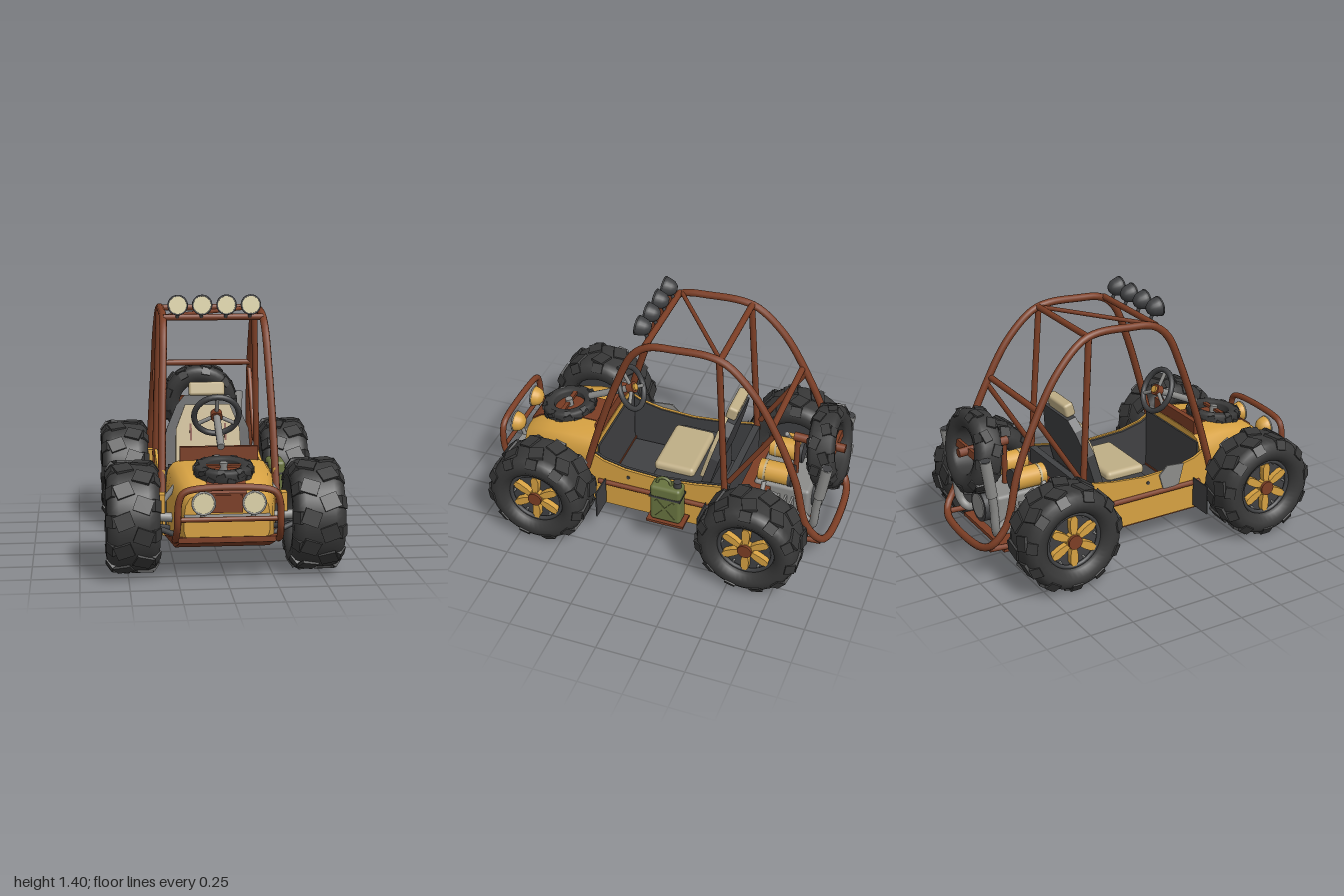
import * as THREE from 'three';
import { toCreasedNormals } from 'three/addons/utils/BufferGeometryUtils.js';
import { RoundedBoxGeometry } from 'three/addons/geometries/RoundedBoxGeometry.js';

const material = (name, color) => Object.assign(new THREE.MeshStandardMaterial({ color }), { name });
const gold = material('gold paint', 0xd6a142);
const brown = material('rust brown', 0x7c3e25);
const rubber = material('rubber', 0x383838);
const dark = material('dark trim', 0x404143);
const cream = material('seat fabric', 0xbfae86);
const lens = material('lamp lens', 0xdfd5ab);
const steel = material('steel', 0x8c8c8a);
const green = material('olive green', 0x68733f);
rubber.side = dark.side = THREE.DoubleSide;

const V = (p) => new THREE.Vector3(...p);
const flipX = ([x, y, z]) => [-x, y, z];

export function createModel() {
  const model = new THREE.Group();
  model.name = 'buggy';

  function add(name, geo, mat, pos = [0, 0, 0], rot = [0, 0, 0], parent = model) {
    const m = new THREE.Mesh(geo, mat);
    m.name = name;
    m.position.set(...pos);
    m.rotation.set(...rot);
    parent.add(m);
    return m;
  }
  function group(name, pos = [0, 0, 0], rot = [0, 0, 0], parent = model) {
    const g = new THREE.Group();
    g.name = name;
    g.position.set(...pos);
    g.rotation.set(...rot);
    parent.add(g);
    return g;
  }
  const box = (name, size, mat, pos, rot, parent) => add(name, new THREE.BoxGeometry(...size), mat, pos, rot, parent);
  const cyl = (name, r, h, mat, pos, rot, parent) => add(name, new THREE.CylinderGeometry(r, r, h, 20), mat, pos, rot, parent);
  const tube = (name, pts, r, mat) => add(name, new THREE.TubeGeometry(
    new THREE.CatmullRomCurve3(pts.map(V), false, 'centripetal'), pts.length * 6, r, 10), mat);
  function bar(name, a, b, r, mat, parent) {
    const d = V(b).sub(V(a));
    const m = add(name, new THREE.CylinderGeometry(r, r, d.length(), 10), mat, V(a).add(V(b)).multiplyScalar(0.5).toArray(), [0, 0, 0], parent);
    m.quaternion.setFromUnitVectors(new THREE.Vector3(0, 1, 0), d.normalize());
  }
  const pair = (fn) => [1, -1].forEach(fn);
  const extrude = (pts, depth) => new THREE.ExtrudeGeometry(
    new THREE.Shape(pts.map(([x, y]) => new THREE.Vector2(x, y))), { depth, bevelEnabled: false });

  // Skin over rings of right-half points, mirrored in x; stations run towards +z
  function loft(stations) {
    const rings = stations.map(({ z, half }) => [...half, ...half.slice().reverse().map(([x, y]) => [-x, y])].map(([x, y]) => [x, y, z]));
    const n = rings[0].length, index = [], last = (rings.length - 1) * n;
    for (let i = 0; i < rings.length - 1; i++) for (let j = 0; j < n; j++) {
      const a = i * n + j, b = i * n + (j + 1) % n;
      index.push(a, b, a + n, b, b + n, a + n);
    }
    for (let j = 1; j < n - 1; j++) index.push(0, j + 1, j, last, last + j, last + j + 1);
    const g = new THREE.BufferGeometry();
    g.setAttribute('position', new THREE.Float32BufferAttribute(rings.flat(2), 3));
    g.setIndex(index);
    return toCreasedNormals(g, 0.7);
  }

  // Tyre around the local y axis with broad, low tread blocks
  function tyre(parent, R, hw, ri, lugs) {
    const half = [[ri, 0.62], [ri + 0.03 * R, 0.82], [ri + (R - ri) * 0.35, 1], [ri + (R - ri) * 0.66, 0.98], [R * 0.94, 0.83], [R * 0.99, 0.55]];
    const pts = [...half.map(([r, k]) => [r, -k]), ...half.slice().reverse(), [ri, -0.62]];
    add('tyre', new THREE.LatheGeometry(pts.map(([r, k]) => new THREE.Vector2(r, k * hw)), 40), rubber, [0, 0, 0], [0, 0, 0], parent);
    const block = new THREE.BoxGeometry(R * 0.07, hw * 0.66, R * 0.28);
    const shoulder = new THREE.BoxGeometry(R * 0.2, hw * 0.2, R * 0.22);
    for (let i = 0; i < lugs; i++) pair((s) => {
      const spoke = group('tread', [0, 0, 0], [0, ((i + (s > 0 ? 0.5 : 0)) / lugs) * Math.PI * 2, 0], parent);
      add('tread block', block, rubber, [R * 0.985, s * hw * 0.36, 0], [s * 0.35, 0, 0], spoke);
      add('shoulder lug', shoulder, rubber, [R * 0.9, s * hw * 0.83, 0], [0, 0, -s * 0.6], spoke);
    });
  }

  // Four wheels with six tapered spokes
  const spokeGeo = extrude([[0.03, -0.013], [0.08, -0.022], [0.125, -0.022], [0.145, -0.012], [0.145, 0.012], [0.125, 0.022], [0.08, 0.022], [0.03, 0.013]], 0.035);
  pair((s) => [0.635, -0.6].forEach((z) => {
    const w = group('wheel', [s * 0.475, 0.3, z], [0, 0, -s * Math.PI / 2]);
    tyre(w, 0.286, 0.137, 0.16, 11);
    cyl('rim well', 0.162, 0.15, dark, [0, -0.01, 0], [0, 0, 0], w);
    add('rim ring', new THREE.TorusGeometry(0.153, 0.012, 8, 32), dark, [0, 0.085, 0], [Math.PI / 2, 0, 0], w);
    for (let i = 0; i < 6; i++) {
      const arm = group('spoke', [0, 0.064, 0], [0, i * Math.PI / 3, 0], w);
      add('spoke arm', spokeGeo, gold, [0, 0.035, 0], [Math.PI / 2, 0, 0], arm);
      cyl('rim bolt', 0.007, 0.03, steel, [0.12, 0, 0.069], [0, 0, 0], arm);
    }
    cyl('wheel hub', 0.045, 0.04, gold, [0, 0.08, 0], [0, 0, 0], w);
    cyl('hub cap', 0.04, 0.05, brown, [0, 0.09, 0], [0, 0, 0], w);
    // Axle, arms and shock
    bar('axle', [s * 0.1, 0.28, z], [s * 0.4, 0.3, z], 0.025, steel);
    bar('suspension arm', [s * 0.2, 0.2, z - 0.1], [s * 0.38, 0.25, z], 0.015, dark);
    bar('suspension arm', [s * 0.2, 0.2, z + 0.1], [s * 0.38, 0.25, z], 0.015, dark);
    bar('shock absorber', [s * 0.22, 0.5, z + 0.01], [s * 0.33, 0.36, z + 0.01], 0.014, steel);
    box('knuckle', [0.03, 0.1, 0.07], gold, [s * 0.32, 0.37, z]);
  }));

  // Nose with centre stripe
  const nose = [[0.38, 0.285, 0.14, 0.55], [0.55, 0.28, 0.14, 0.55], [0.7, 0.262, 0.16, 0.53], [0.8, 0.238, 0.2, 0.5], [0.855, 0.22, 0.23, 0.46]];
  add('nose', loft(nose.map(([z, w, a, b]) => ({ z, half: [[w * 0.95, a], [w, a + 0.04], [w, b - 0.12], [w * 0.96, b - 0.06], [w * 0.86, b - 0.02], [w * 0.7, b - 0.004], [0.05, b]] }))), gold);
  add('hood stripe', loft(nose.map(([z, , , b]) => ({ z: z + 0.004, half: [[0.1, b - 0.02], [0.1, b + 0.004]] }))), brown);
  box('grille panel', [0.16, 0.09, 0.008], brown, [0, 0.41, 0.862]);
  box('front shelf', [0.44, 0.02, 0.07], steel, [0, 0.345, 0.88]);
  box('dashboard', [0.42, 0.08, 0.03], brown, [0, 0.58, 0.4]);
  add('skid plate', loft([
    { z: 0.36, half: [[0.26, 0.12], [0.3, 0.175]] }, { z: 0.6, half: [[0.25, 0.12], [0.305, 0.19]] },
    { z: 0.87, half: [[0.245, 0.21], [0.265, 0.24]] }]), brown);

  // Cockpit tub
  const side = [[0.42, 0.14], [0.42, 0.5], [0.33, 0.45], [0.2, 0.42], [0, 0.41], [-0.2, 0.43], [-0.37, 0.46], [-0.37, 0.14]];
  const sideGeo = extrude(side, 0.015);
  pair((s) => {
    const x = s > 0 ? 0.015 : 0;
    add('side panel', sideGeo, gold, [s * 0.29 + x, 0, 0], [0, -Math.PI / 2, 0]);
    add('inner lining', sideGeo, dark, [s * 0.2755 + x - 0.0075, -0.003, 0], [0, -Math.PI / 2, 0]);
    bar('side rail', [s * 0.31, 0.3, 0.36], [s * 0.31, 0.3, -0.36], 0.015, brown);
    for (const z of [0.18, 0.02]) cyl('rivet', 0.01, 0.006, dark, [s * 0.307, 0.37, z], [0, 0, Math.PI / 2]);
    for (const z of [0.315, -0.287]) box('mud flap', [0.14, 0.17, 0.007], dark, [s * 0.39, 0.25, z]);
  });
  box('floor pan', [0.56, 0.025, 0.76], brown, [0, 0.132, 0]);
  box('floor mat', [0.54, 0.02, 0.76], dark, [0, 0.155, 0]);
  box('rear bulkhead', [0.56, 0.32, 0.04], dark, [0, 0.3, -0.39]);
  box('front bulkhead', [0.54, 0.36, 0.01], dark, [0, 0.34, 0.37]);
  add('heat shield', extrude([[0.25, 0.44], [0.14, 0.45], [0.09, 0.4], [0.12, 0.3], [0.22, 0.32]], 0.008), steel, [-0.308, 0, 0], [0, -Math.PI / 2, 0]);

  // Seat
  add('seat base', new RoundedBoxGeometry(0.5, 0.22, 0.32, 2, 0.02), dark, [0, 0.27, -0.1]);
  add('seat cushion', new RoundedBoxGeometry(0.38, 0.06, 0.24, 3, 0.025), cream, [0, 0.395, -0.05]);
  const seat = group('seat back', [0, 0.38, -0.225], [-0.27, 0, 0]);
  add('seat shell', extrude([[-0.25, 0], [0.25, 0], [0.24, 0.22], [0.18, 0.36], [0.13, 0.42], [-0.13, 0.42], [-0.18, 0.36], [-0.24, 0.22]], 0.05), dark, [0, 0, -0.05], [0, 0, 0], seat);
  add('back cushion', extrude([[-0.19, 0.02], [0.19, 0.02], [0.185, 0.22], [0.13, 0.36], [-0.13, 0.36], [-0.185, 0.22]], 0.025), cream, [0, 0, 0], [0, 0, 0], seat);
  add('headrest', new RoundedBoxGeometry(0.21, 0.08, 0.06, 2, 0.015), cream, [0, 0.455, -0.01], [0, 0, 0], seat);
  pair((s) => box('seat slot', [0.012, 0.1, 0.006], brown, [s * 0.1, 0.2, 0.026], [0, 0, 0], seat));

  // Steering wheel, its local y along the column towards the driver
  bar('steering column', [0, 0.64, 0.53], [0, 0.76, 0.28], 0.02, steel);
  const wheel = group('steering wheel', [0, 0.765, 0.27], [-1.09, 0, 0]);
  add('steering rim', new THREE.TorusGeometry(0.122, 0.016, 10, 32), dark, [0, 0, 0], [Math.PI / 2, 0, 0], wheel);
  for (const a of [0.5, 2.64, 4.71]) bar('steering spoke', [0, 0, 0], [Math.cos(a) * 0.12, 0, -Math.sin(a) * 0.12], 0.011, steel, wheel);
  cyl('steering boss', 0.032, 0.04, brown, [0, 0, 0], [0, 0, 0], wheel);
  cyl('horn button', 0.02, 0.012, gold, [0, 0.024, 0], [0, 0, 0], wheel);

  // Roll cage
  const cage = [[0.308, 0.38, 0.43], [0.3, 0.7, 0.34], [0.288, 1.02, 0.235], [0.28, 1.21, 0.15], [0.276, 1.28, 0.06], [0.276, 1.3, -0.1],
    [0.276, 1.305, -0.28], [0.278, 1.275, -0.38], [0.285, 1.13, -0.53], [0.29, 0.9, -0.665], [0.3, 0.62, -0.785], [0.305, 0.34, -0.86], [0.275, 0.23, -0.935], [0.2, 0.195, -0.965]];
  tube('roll cage', [...cage, ...cage.slice().reverse().map(flipX)], 0.021, brown);
  for (const [y, z, x] of [[1.28, 0.08, 0.275], [1.295, -0.34, 0.278], [0.935, -0.64, 0.288]]) bar('cage crossbar', [-x, y, z], [x, y, z], 0.018, brown);
  bar('roof brace', [-0.26, 1.285, 0.06], [0.26, 1.295, -0.33], 0.012, brown);
  pair((s) => {
    bar('rear pillar', [s * 0.276, 1.3, -0.335], [s * 0.3, 0.42, -0.39], 0.018, brown);
    bar('pillar brace', [s * 0.285, 0.9, -0.66], [s * 0.29, 0.5, -0.41], 0.015, brown);
    bar('tray rail', [s * 0.27, 0.16, -0.36], [s * 0.26, 0.2, -0.94], 0.016, brown);
  });

  // Roof lamps and headlamps: bowl opening to the front
  function lamp(name, pos, r, depth, mat, rim, tilt) {
    const g = group(name, pos, [Math.PI / 2 + tilt, 0, 0]);
    const pts = [[0, -1], [0.45, -0.92], [0.78, -0.65], [0.95, -0.25], [1, 0], [0.9, 0.05]];
    add('lamp bowl', new THREE.LatheGeometry(pts.map(([x, y]) => new THREE.Vector2(x * r, y * depth)), 24), mat, [0, 0, 0], [0, 0, 0], g);
    add('lamp ring', new THREE.TorusGeometry(r * 0.94, r * 0.1, 8, 28), rim, [0, 0.002, 0], [Math.PI / 2, 0, 0], g);
    cyl('lamp lens', r * 0.9, 0.008, lens, [0, 0.002, 0], [0, 0, 0], g);
  }
  for (let i = 0; i < 4; i++) {
    const x = -0.2 + i * 0.1333;
    lamp('roof lamp', [x, 1.353, 0.144], 0.054, 0.075, dark, dark, -0.1);
    bar('lamp bracket', [x, 1.28, 0.09], [x, 1.33, 0.11], 0.01, dark);
  }
  pair((s) => {
    lamp('headlamp', [s * 0.128, 0.435, 0.952], 0.06, 0.06, gold, steel, 0);
    bar('headlamp stem', [s * 0.128, 0.35, 0.9], [s * 0.128, 0.41, 0.92], 0.012, steel);
  });

  // Front bumper hoop
  const hoop = [[0.265, 0.22, 0.84], [0.265, 0.25, 0.91], [0.26, 0.32, 0.965], [0.255, 0.44, 0.975], [0.235, 0.49, 0.975], [0.18, 0.512, 0.975]];
  tube('bumper hoop', [...hoop, ...hoop.slice().reverse().map(flipX)], 0.018, brown);
  bar('bumper bar', [-0.25, 0.355, 0.965], [0.25, 0.355, 0.965], 0.013, brown);

  // Spare tyres on the hood and at the back
  const small = group('hood spare', [0, 0.545, 0.66], [0.12, 0, 0]);
  tyre(small, 0.157, 0.035, 0.088, 9);
  box('spare strap', [0.2, 0.015, 0.025], brown, [0, 0.02, 0], [0, 0, 0], small);
  cyl('spare bolt', 0.022, 0.05, steel, [0, 0.015, 0], [0, 0, 0], small);
  const spare = group('rear spare', [0, 0.667, -0.893], [-Math.PI / 2 + 0.16, 0, 0]);
  tyre(spare, 0.229, 0.074, 0.125, 9);
  box('spare clamp', [0.27, 0.02, 0.04], brown, [0, 0.03, 0], [0, 0, 0], spare);
  bar('spare mount', [0, 0.68, -0.69], [0, 0.67, -0.98], 0.025, brown);
  bar('spare post', [0, 0.68, -0.71], [0, 0.4, -0.71], 0.016, brown);

  // Engine bay
  box('engine tray', [0.5, 0.02, 0.4], brown, [0, 0.15, -0.65], [0.06, 0, 0]);
  box('engine shelf', [0.42, 0.02, 0.16], brown, [0, 0.4, -0.53]);
  add('engine block', new RoundedBoxGeometry(0.3, 0.24, 0.32, 2, 0.02), steel, [0, 0.31, -0.67]);
  pair((s) => {
    for (let i = 0; i < 5; i++) box('cooling fin', [0.12, 0.15, 0.012], steel, [s * 0.19, 0.3, -0.58 - i * 0.04]);
    cyl('air filter', 0.06, 0.17, gold, [s * 0.11, 0.49, -0.62], [Math.PI / 2, 0, 0]);
    cyl('filter cap', 0.063, 0.02, dark, [s * 0.11, 0.49, -0.715], [Math.PI / 2, 0, 0]);
    cyl('filter band', 0.062, 0.012, cream, [s * 0.11, 0.49, -0.57], [Math.PI / 2, 0, 0]);
    tube('exhaust pipe', [[0.14, 0.28, -0.78], [0.18, 0.24, -0.85], [0.22, 0.28, -0.88], [0.235, 0.42, -0.895], [0.242, 0.52, -0.91]].map(([x, y, z]) => [s * x, y, z]), 0.024, steel);
    bar('muffler', [s * 0.24, 0.5, -0.907], [s * 0.245, 0.712, -0.94], 0.032, steel);
    bar('muffler mouth', [s * 0.245, 0.7, -0.938], [s * 0.245, 0.714, -0.94], 0.027, dark);
  });
  cyl('fan housing', 0.09, 0.05, dark, [0, 0.33, -0.85], [Math.PI / 2, 0, 0]);
  cyl('fan cover', 0.07, 0.06, steel, [0, 0.33, -0.85], [Math.PI / 2, 0, 0]);

  // Fuel can on its side rack
  const can = group('fuel can', [0.37, 0, -0.08]);
  box('can rack', [0.11, 0.015, 0.22], brown, [0, 0.2, 0], [0, 0, 0], can);
  add('can body', new RoundedBoxGeometry(0.095, 0.24, 0.18, 3, 0.02), green, [0, 0.33, 0], [0, 0, 0], can);
  pair((s) => box('can rib', [0.006, 0.16, 0.016], green, [0.049, 0.3, 0], [s * 0.7, 0, 0], can));
  box('can strap', [0.1, 0.012, 0.185], dark, [0, 0.38, 0], [0, 0, 0], can);
  add('can handle', new THREE.TorusGeometry(0.04, 0.009, 8, 16, Math.PI), green, [0, 0.45, 0.02], [0, Math.PI / 2, 0], can);
  cyl('can cap', 0.022, 0.04, dark, [0, 0.465, -0.06], [0, 0, 0], can);
  return model;
}
